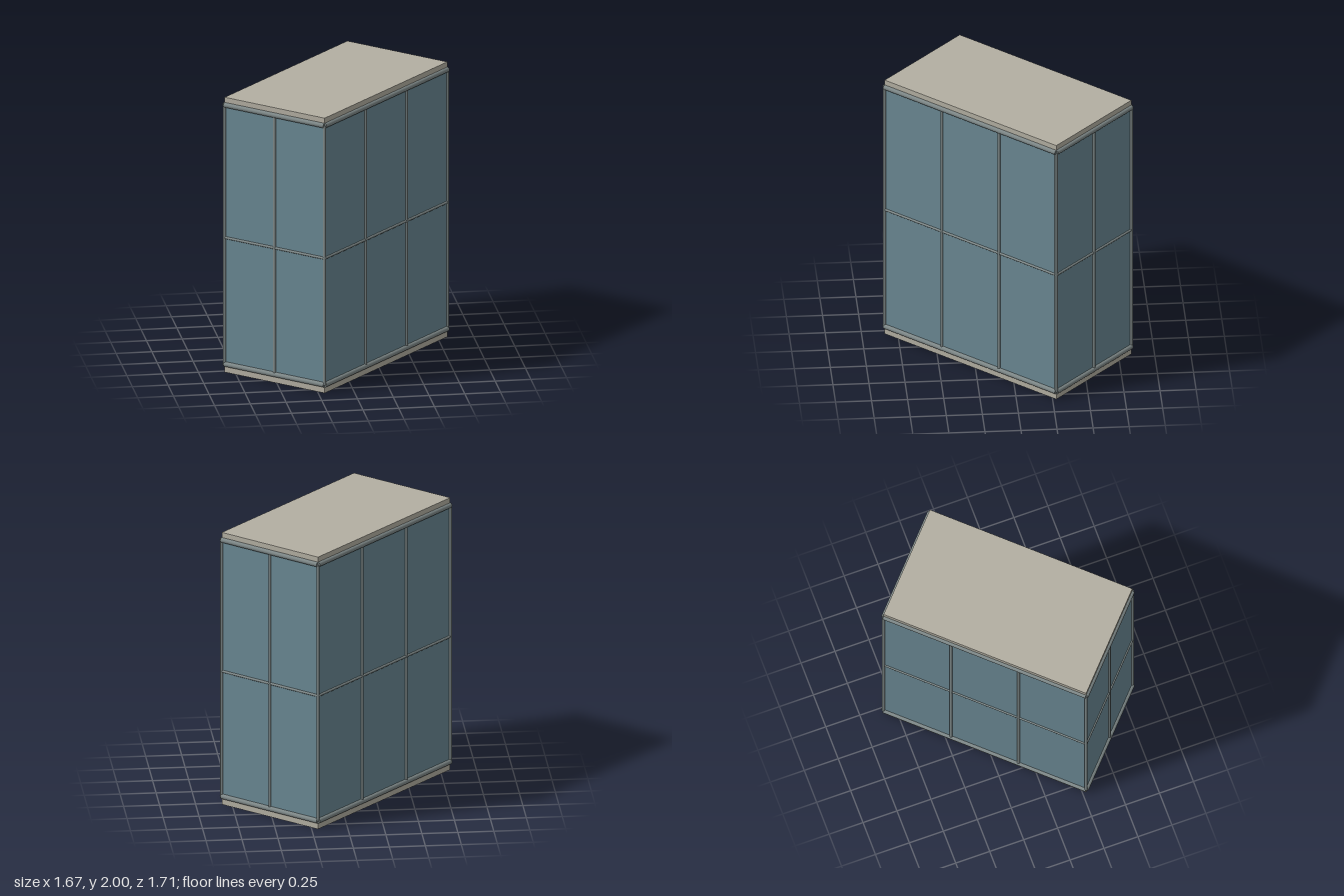
import * as THREE from 'three';

const HALF_LONG = 0.758, HALF_SHORT = 0.417; // half plan size
const LOW = 0.06, HIGH = 1.945, MID = 0.98; // rail heights

const concrete = new THREE.MeshStandardMaterial({ color: 0xb3afa2 });
const glass = new THREE.MeshStandardMaterial({ color: 0x6a8893 });
const metal = new THREE.MeshStandardMaterial({ color: 0x7d8787 });

function addBox(parent, name, w, h, d, y, material) {
  const mesh = new THREE.Mesh(new THREE.BoxGeometry(w, h, d), material);
  mesh.name = name;
  mesh.position.y = y;
  parent.add(mesh);
}

// Round bar between two points
function addBar(parent, name, a, b, radius) {
  const dir = b.clone().sub(a);
  const mesh = new THREE.Mesh(new THREE.CylinderGeometry(radius, radius, dir.length(), 16), metal);
  mesh.name = name;
  mesh.position.copy(a).add(b).multiplyScalar(0.5);
  mesh.quaternion.setFromUnitVectors(new THREE.Vector3(0, 1, 0), dir.normalize());
  parent.add(mesh);
}

export function createModel() {
  const model = new THREE.Group();
  model.name = 'glazedBlock';
  const body = new THREE.Group();
  body.name = 'body';
  body.rotation.y = 0.827; // turned in plan
  model.add(body);

  // Floor and roof slabs with the glazing between them
  const w = HALF_LONG * 2, d = HALF_SHORT * 2;
  addBox(body, 'floorSlab', w, 0.06, d, 0.03, concrete);
  addBox(body, 'roofSlab', w, 0.06, d, 1.97, concrete);
  addBox(body, 'glazing', w - 0.002, 1.88, d - 0.002, 1, glass);

  // Framing of each wall: rails, then evenly spaced mullions
  const corners = [[1, 1], [1, -1], [-1, -1], [-1, 1]]
    .map(([x, z]) => new THREE.Vector3(x * HALF_LONG, 0, z * HALF_SHORT));
  corners.forEach((a, i) => {
    const b = corners[(i + 1) % 4];
    const wall = new THREE.Group();
    wall.name = 'wallFrame' + (i + 1);
    body.add(wall);
    const at = (t, y) => a.clone().lerp(b, t).setY(y);

    addBar(wall, 'bottomRail', at(0, LOW), at(1, LOW), 0.018);
    addBar(wall, 'topRail', at(0, HIGH), at(1, HIGH), 0.018);
    addBar(wall, 'middleRail', at(0, MID), at(1, MID), 0.009);

    const bays = i % 2 === 0 ? 2 : 3; // short walls 2, long walls 3
    for (let k = 0; k < bays; k++) {
      addBar(wall, k === 0 ? 'cornerPost' : 'mullion', at(k / bays, LOW), at(k / bays, HIGH), 0.011);
    }
  });
  return model;
}
